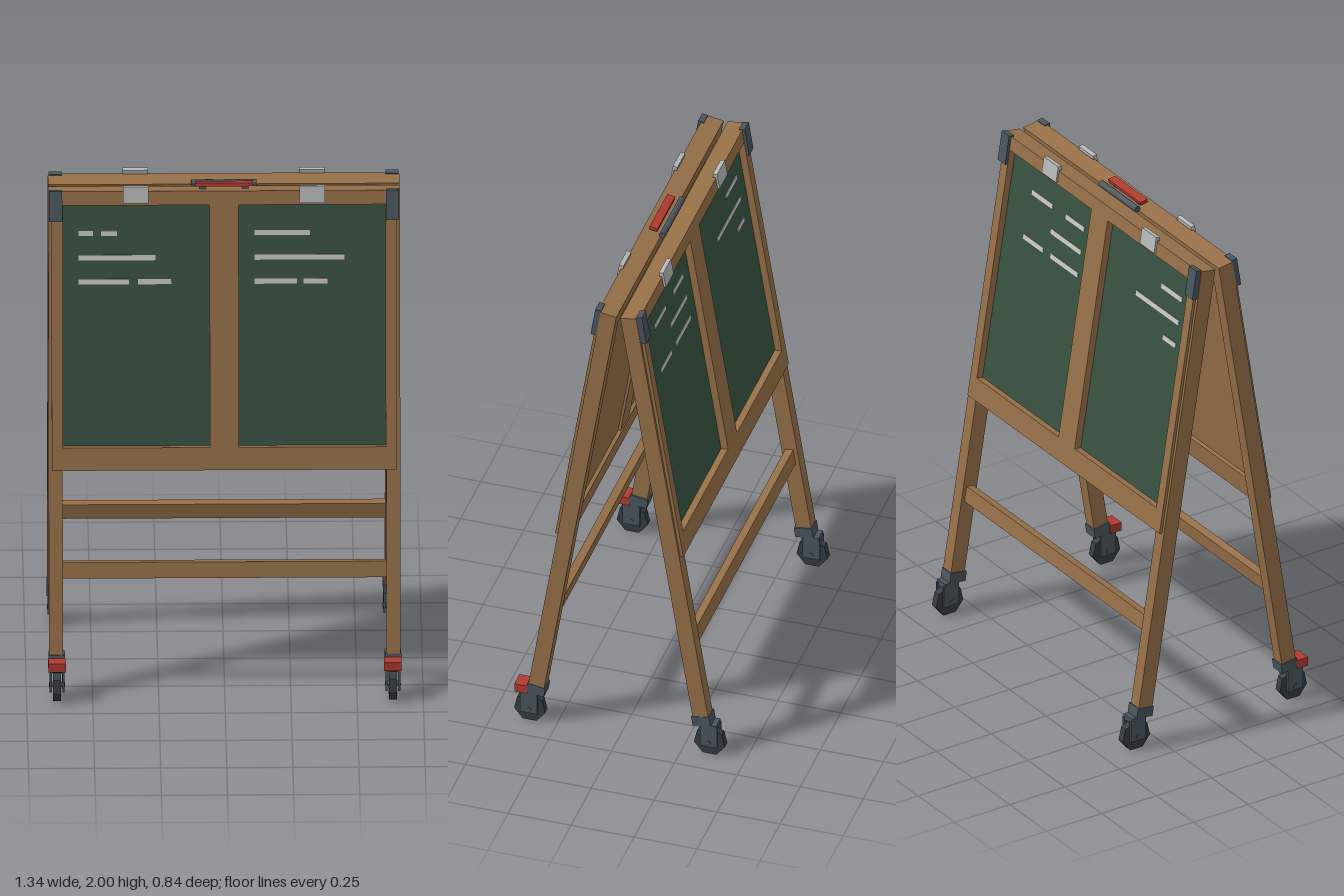
import * as THREE from 'three';

const mat = (name, color) => {
  const m = new THREE.MeshStandardMaterial({ color });
  m.name = name;
  return m;
};

const TILT = 0.158, TOP_Y = 1.967, TOP_Z = 0.008;

// Chalk strokes: [x start, x end, height]
const FRONT_CHALK = [
  [-0.55, -0.495, 1.805], [-0.465, -0.405, 1.805], [-0.55, -0.26, 1.71],
  [-0.55, -0.36, 1.617], [-0.325, -0.2, 1.617],
  [0.115, 0.325, 1.805], [0.115, 0.455, 1.71], [0.115, 0.275, 1.617], [0.3, 0.39, 1.617],
];
const BACK_CHALK = [
  [-0.55, -0.41, 1.805], [-0.55, -0.26, 1.71], [-0.55, -0.465, 1.617],
  [0.115, 0.24, 1.805], [0.33, 0.47, 1.805], [0.115, 0.32, 1.71],
  [0.115, 0.3, 1.617], [0.35, 0.485, 1.617],
];

export function createModel() {
  const wood = mat('wood', 0x967048);
  const green = mat('chalkboard green', 0x385241);
  const steel = mat('dark steel', 0x4a555d);
  const rubber = mat('wheel rubber', 0x343c42);
  const clipMetal = mat('clip metal', 0xb6b8b8);
  const red = mat('red', 0xb03a30);
  const chalk = mat('chalk', 0xc6c8c0);

  // Box given by its limits on each axis
  const box = (parent, name, material, x0, x1, y0, y1, z0, z1) => {
    const m = new THREE.Mesh(new THREE.BoxGeometry(x1 - x0, y1 - y0, z1 - z0), material);
    m.position.set((x0 + x1) / 2, (y0 + y1) / 2, (z0 + z1) / 2);
    m.name = name;
    parent.add(m);
    return m;
  };

  // Rectangle path for the frame and its openings
  const rect = (path, x0, x1, y0, y1) => {
    path.moveTo(x0, y0);
    path.lineTo(x1, y0);
    path.lineTo(x1, y1);
    path.lineTo(x0, y1);
    path.closePath();
    return path;
  };

  // Swivel caster, with a red brake pedal on the front pair
  const caster = (parent, x, braked) => {
    const c = new THREE.Group();
    c.name = 'caster';
    c.position.set(x, 0, 0.357);
    const wheel = new THREE.Mesh(new THREE.CylinderGeometry(0.063, 0.063, 0.03, 7), rubber);
    wheel.material.flatShading = true;
    wheel.geometry.rotateY(Math.PI / 2);
    wheel.geometry.rotateZ(Math.PI / 2);
    // Turn the wheel so that one flat rests on the ground
    wheel.geometry.computeBoundingBox();
    const b = wheel.geometry.boundingBox;
    if (b.max.y < 0.0625) wheel.geometry.rotateX(b.max.z > 0.0625 ? -Math.PI / 2 : Math.PI / 2 * (b.min.z < -0.0625 ? 1 : 2));
    wheel.position.y = 0.057;
    wheel.name = 'wheel';
    c.add(wheel);
    for (const s of [-1, 1]) {
      const side = box(c, 'forkPlate', steel, -0.004, 0.004, 0.04, 0.13, -0.034, 0.034);
      side.position.x = s * 0.024;
    }
    box(c, 'forkCrown', steel, -0.028, 0.028, 0.118, 0.14, -0.03, 0.03);
    const axle = new THREE.Mesh(new THREE.CylinderGeometry(0.01, 0.01, 0.06, 8), steel);
    axle.rotation.z = Math.PI / 2;
    axle.position.y = 0.057;
    axle.name = 'axle';
    c.add(axle);
    if (braked) box(c, 'brakePedal', red, -0.033, 0.033, 0.132, 0.167, 0.005, 0.055);
    parent.add(c);
  };

  // One leaning half of the easel, built facing +z; local y runs down the legs from the top
  const half = (name, strokes, isFront) => {
    const h = new THREE.Group();
    h.name = name;
    const p = new THREE.Group();
    p.name = 'leaningFrame';
    p.position.set(0, TOP_Y, TOP_Z);
    p.rotation.x = -TILT;
    h.add(p);

    // Structural rails
    box(p, 'topRail', wood, -0.665, 0.665, -0.055, 0, 0, 0.063);
    box(p, 'bottomRail', wood, -0.61, 0.61, -1.095, -1.006, 0.015, 0.063);
    box(p, 'crossbar', wood, -0.612, 0.612, -1.525, -1.462, 0.016, 0.048);
    box(p, 'centrePost', wood, -0.055, 0.055, -1.006, -0.055, 0.02, 0.063);

    // Face frame with two openings
    const shape = rect(new THREE.Shape(), -0.653, 0.653, -1.095, 0);
    shape.holes.push(rect(new THREE.Path(), 0.055, 0.61, -1.006, -0.055));
    shape.holes.push(rect(new THREE.Path(), -0.61, -0.055, -1.006, -0.055));
    const face = new THREE.Mesh(
      new THREE.ExtrudeGeometry(shape, { depth: 0.012, bevelEnabled: false }), wood);
    face.position.z = 0.063;
    face.name = 'faceFrame';
    p.add(face);

    for (const s of [-1, 1]) {
      const at = (n, m, x0, x1, ...r) =>
        box(p, n, m, Math.min(s * x0, s * x1), Math.max(s * x0, s * x1), ...r);
      at('leg', wood, 0.612, 0.665, -1.85, -0.055, 0, 0.063);
      at('legCap', steel, 0.605, 0.667, -1.86, -1.82, -0.005, 0.067);
      at('backingBoard', wood, 0.055, 0.612, -1.006, -0.055, 0.03, 0.042);
      at('chalkboard', green, 0.055, 0.612, -1.006, -0.055, 0.042, 0.047);
      // Corner bracket wrapping the face frame
      at('cornerBracket', steel, 0.612, 0.662, -0.115, 0.004, 0.063, 0.086);
      // Paper clip with a lip over the rail
      at('clipPlate', clipMetal, 0.285, 0.382, -0.046, 0.02, 0.076, 0.084);
      at('clipLip', clipMetal, 0.285, 0.382, 0.004, 0.02, 0.066, 0.076);
      caster(h, s * 0.635, isFront);
    }

    // Chalk writing
    const dir = isFront ? 1 : -1;
    for (const [a, b, y] of strokes) {
      const ly = (y - TOP_Y - 0.047 * Math.sin(TILT)) / Math.cos(TILT);
      const x0 = Math.min(a * dir, b * dir), x1 = Math.max(a * dir, b * dir);
      box(p, 'chalkStroke', chalk, x0, x1, ly - 0.01, ly + 0.01, 0.047, 0.049);
    }

    // Carrying handle on the front rail
    if (isFront) {
      box(p, 'handleGrip', red, -0.11, 0.11, 0.011, 0.024, 0.018, 0.05);
      for (const s of [-1, 1])
        box(p, 'handleMount', steel, s * 0.08 - 0.012, s * 0.08 + 0.012, 0, 0.011, 0.024, 0.044);
    }
    return h;
  };

  const model = new THREE.Group();
  model.name = 'foldingChalkboard';
  const back = half('backHalf', BACK_CHALK, false);
  back.rotation.y = Math.PI;
  model.add(half('frontHalf', FRONT_CHALK, true), back);

  // Hinge between the halves
  const hinge = new THREE.Mesh(new THREE.CylinderGeometry(0.013, 0.013, 0.246, 8), steel);
  hinge.rotation.z = Math.PI / 2;
  hinge.position.y = 1.977;
  hinge.name = 'hinge';
  model.add(hinge);
  return model;
}
